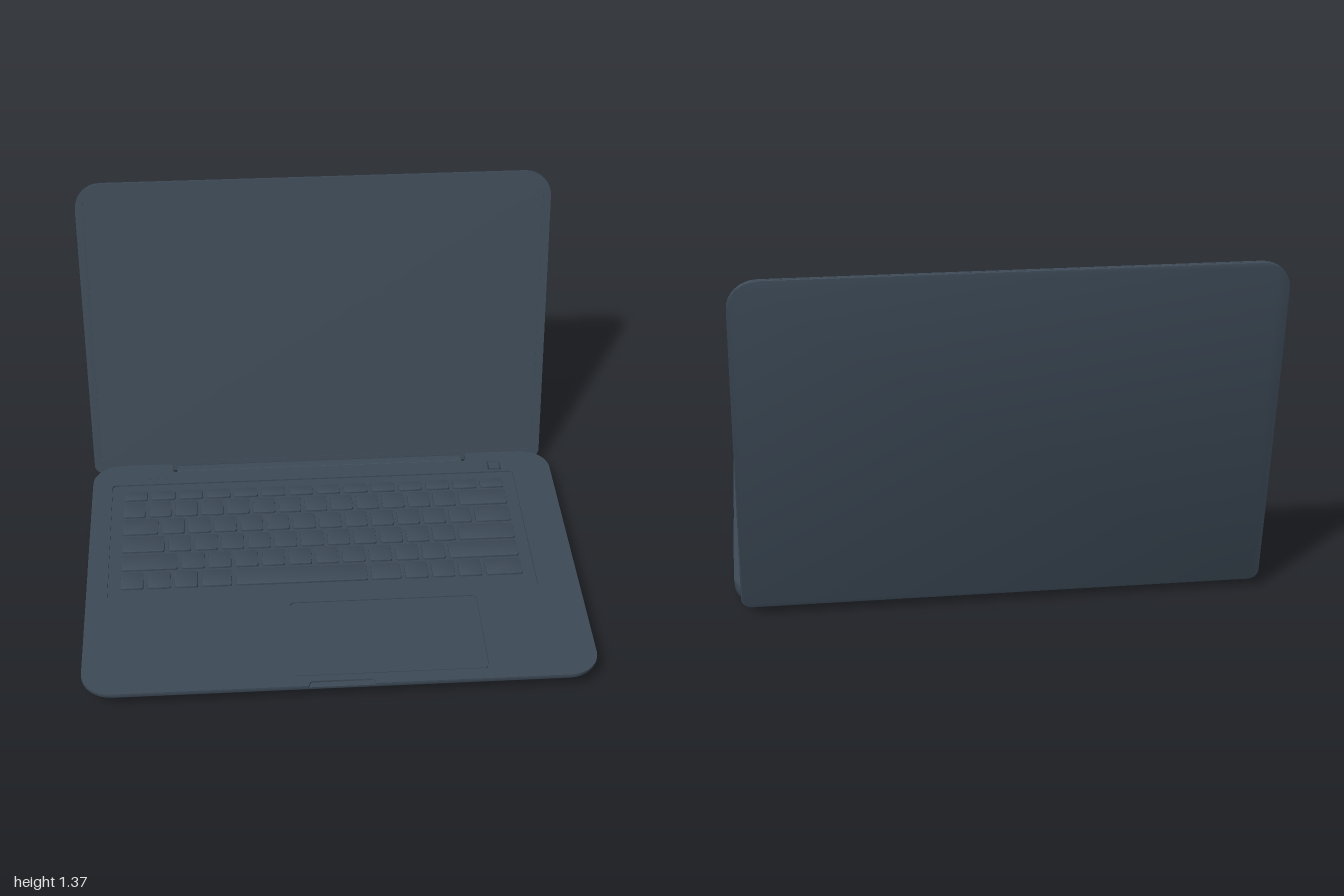
import * as THREE from 'three';
import { toCreasedNormals } from 'three/addons/utils/BufferGeometryUtils.js';

const material = new THREE.MeshStandardMaterial({ color: 0x3d4a57 });

function addMesh(parent, name, geometry, x = 0, y = 0, z = 0) {
  const mesh = new THREE.Mesh(geometry, material);
  mesh.name = name;
  mesh.position.set(x, y, z);
  parent.add(mesh);
  return mesh;
}

// Closed outline through [x, y, cornerRadius] points
function outline(points, Type = THREE.Shape) {
  const path = new Type();
  const n = points.length;
  points.forEach(([x, y, r = 0], i) => {
    const corner = new THREE.Vector2(x, y);
    const toward = ([px, py]) =>
      new THREE.Vector2(px, py).sub(corner).setLength(r).add(corner);
    const a = toward(points[(i + n - 1) % n]);
    const b = toward(points[(i + 1) % n]);
    if (i === 0) path.moveTo(a.x, a.y);
    else path.lineTo(a.x, a.y);
    if (r) {
      // cubic approximation of a circular corner
      const c1 = a.clone().lerp(corner, 0.552), c2 = b.clone().lerp(corner, 0.552);
      path.bezierCurveTo(c1.x, c1.y, c2.x, c2.y, b.x, b.y);
    }
  });
  path.closePath();
  return path;
}

const rect = (x0, y0, x1, y1, r, Type) =>
  outline([[x0, y0, r], [x1, y0, r], [x1, y1, r], [x0, y1, r]], Type);

function extrude(shape, depth, bevel = 0, steps = 1) {
  return new THREE.ExtrudeGeometry(shape, {
    depth, steps, curveSegments: 8, bevelEnabled: bevel > 0,
    bevelThickness: bevel, bevelSize: bevel, bevelOffset: -bevel, bevelSegments: 2,
  });
}

// Horizontal slab: shape y becomes -z, thickness goes up
const slab = (shape, depth, bevel, steps) => extrude(shape, depth, bevel, steps).rotateX(-Math.PI / 2);

// Base outline with the hinge notch at the back, and optionally the front scoop
function baseShape(scoop) {
  const front = scoop
    ? [[-0.13, -0.825], [-0.12, -0.8, 0.008], [0.12, -0.8, 0.008], [0.13, -0.825]] : [];
  const shape = outline([
    [-1, -0.825, 0.12], ...front, [1, -0.825, 0.12], [1, 0.588, 0.12],
    [0.638, 0.588, 0.012], [0.638, 0.535, 0.015], [-0.658, 0.535, 0.015],
    [-0.658, 0.588, 0.012], [-1, 0.588, 0.12],
  ]);
  shape.holes.push(rect(0.727, 0.462, 0.785, 0.52, 0.004, THREE.Path));
  return shape;
}

const bottomY = (z) => 0.033 + 0.032 * z;
const DECK = 0.08, TOP = 0.088;

function buildBase() {
  const base = new THREE.Group();
  base.name = 'base';

  // Wedge body: thick at the back, with sides curving in underneath
  const body = slab(baseShape(false), 1, 0, 5);
  const p = body.attributes.position;
  for (let i = 0; i < p.count; i++) {
    const t = p.getY(i), s = 1 - 0.018 * (1 - t) ** 3;
    const z = 0.118 + (p.getZ(i) - 0.118) * s;
    p.setXYZ(i, p.getX(i) * s, THREE.MathUtils.lerp(bottomY(z), DECK, t), z);
  }
  addMesh(base, 'body', toCreasedNormals(body, 0.6));

  // Top deck with openings for keyboard and trackpad
  const deck = baseShape(true);
  deck.holes.push(rect(-0.915, -0.303, 0.832, 0.45, 0.015, THREE.Path));
  deck.holes.push(rect(-0.18, -0.77, 0.572, -0.35, 0.018, THREE.Path));
  addMesh(base, 'deck', toCreasedNormals(slab(deck, TOP - DECK), 0.6), 0, DECK);
  addMesh(base, 'trackpad', slab(rect(-0.176, -0.766, 0.568, -0.354, 0.016), 0.007), 0, DECK);
  addMesh(base, 'keyboardTray', slab(rect(-0.912, -0.3, 0.829, 0.447, 0.013), 0.004), 0, DECK);

  // Power button and indicator dots
  addMesh(base, 'powerButton', new THREE.BoxGeometry(0.044, 0.085, 0.044), 0.756, 0.048, -0.491);
  for (const x of [-0.76, -0.725, -0.69, 0.667, 0.703])
    addMesh(base, 'indicator', new THREE.CylinderGeometry(0.008, 0.009, 0.003, 12), x, TOP + 0.001, -0.49);

  // Side panels and feet
  for (const side of [-1, 1]) {
    addMesh(base, 'sidePanel', new THREE.BoxGeometry(0.006, 0.03, 0.51), side * 0.998, 0.068, -0.165);
    addMesh(base, 'frontFoot', new THREE.CylinderGeometry(0.032, 0.024, 0.02, 20), side * 0.86, 0.053, 0.7);
    addMesh(base, 'backFoot', new THREE.CylinderGeometry(0.038, 0.03, 0.022, 20), side * 0.86, 0.011, -0.465);
  }
  return base;
}

// Key widths for each row, back to front, in key units (15 in total)
const ones = (n) => Array(n).fill(1);
const ROWS = [
  Array(14).fill(15 / 14),
  [...ones(13), 2],
  [1.5, ...ones(12), 1.5],
  [1.75, ...ones(11), 2.25],
  [2.25, ...ones(10), 2.75],
  [1, 1, 1, 1.25, 5, 1.25, 1, 1, 1, 1.5],
];

function buildKeyboard() {
  const keyboard = new THREE.Group();
  keyboard.name = 'keyboard';
  const unit = 1.66 / 15, gap = 0.018;
  let z = -0.405;
  ROWS.forEach((row, r) => {
    const depth = r === 0 ? 0.075 : 0.114;
    let x = -0.872;
    for (const w of row) {
      const hw = (w * unit - gap) / 2, hd = (depth - gap) / 2;
      const key = toCreasedNormals(slab(rect(-hw, -hd, hw, hd, 0.01), 0.008, 0.002), 0.5);
      addMesh(keyboard, 'key', key, x + (w * unit) / 2, 0.083, z + depth / 2);
      x += w * unit;
    }
    z += depth;
  });
  return keyboard;
}

function buildLid() {
  const lid = new THREE.Group();
  lid.name = 'lid';
  const W = 0.9875, H = 1.35;
  const shape = () => outline([[-W, 0, 0.04], [W, 0, 0.04], [W, H, 0.11], [-W, H, 0.11]]);

  // Back shell
  addMesh(lid, 'lidShell', toCreasedNormals(extrude(shape(), 0.006, 0.002), 0.6), 0, 0, -0.008);

  // Bezel around the screen, with a camera tab at the top
  const bezel = shape();
  bezel.holes.push(outline([
    [-0.955, 0.045, 0.008], [0.955, 0.045, 0.008], [0.955, 1.277, 0.008],
    [0.125, 1.277, 0.008], [0.11, 1.254, 0.01], [-0.11, 1.254, 0.01],
    [-0.125, 1.277, 0.008], [-0.955, 1.277, 0.008],
  ], THREE.Path));
  addMesh(lid, 'bezel', toCreasedNormals(extrude(bezel, 0.007), 0.6), 0, 0, -0.001);
  addMesh(lid, 'screen', new THREE.BoxGeometry(1.92, 1.24, 0.004), 0, 0.66, 0.001);

  // Camera and microphones
  for (const [x, y, r] of [[0, 1.318, 0.008], [-0.012, 1.338, 0.004], [0.012, 1.338, 0.004]])
    addMesh(lid, 'camera', new THREE.CylinderGeometry(r, r, 0.002, 12).rotateX(Math.PI / 2), x, y, 0.0065);

  lid.position.set(-0.0125, 0.037, -0.612);
  lid.rotation.x = -0.157;
  return lid;
}

export function createModel() {
  const model = new THREE.Group();
  model.name = 'laptop';
  model.add(buildBase(), buildKeyboard(), buildLid());

  // Hinge bar seated in the notch
  const hinge = extrude(rect(-0.03, -0.018, 0.03, 0.018, 0.012), 1.256).rotateY(Math.PI / 2);
  addMesh(model, 'hinge', toCreasedNormals(hinge, 0.6), -0.636, 0.055, -0.575);
  return model;
}
